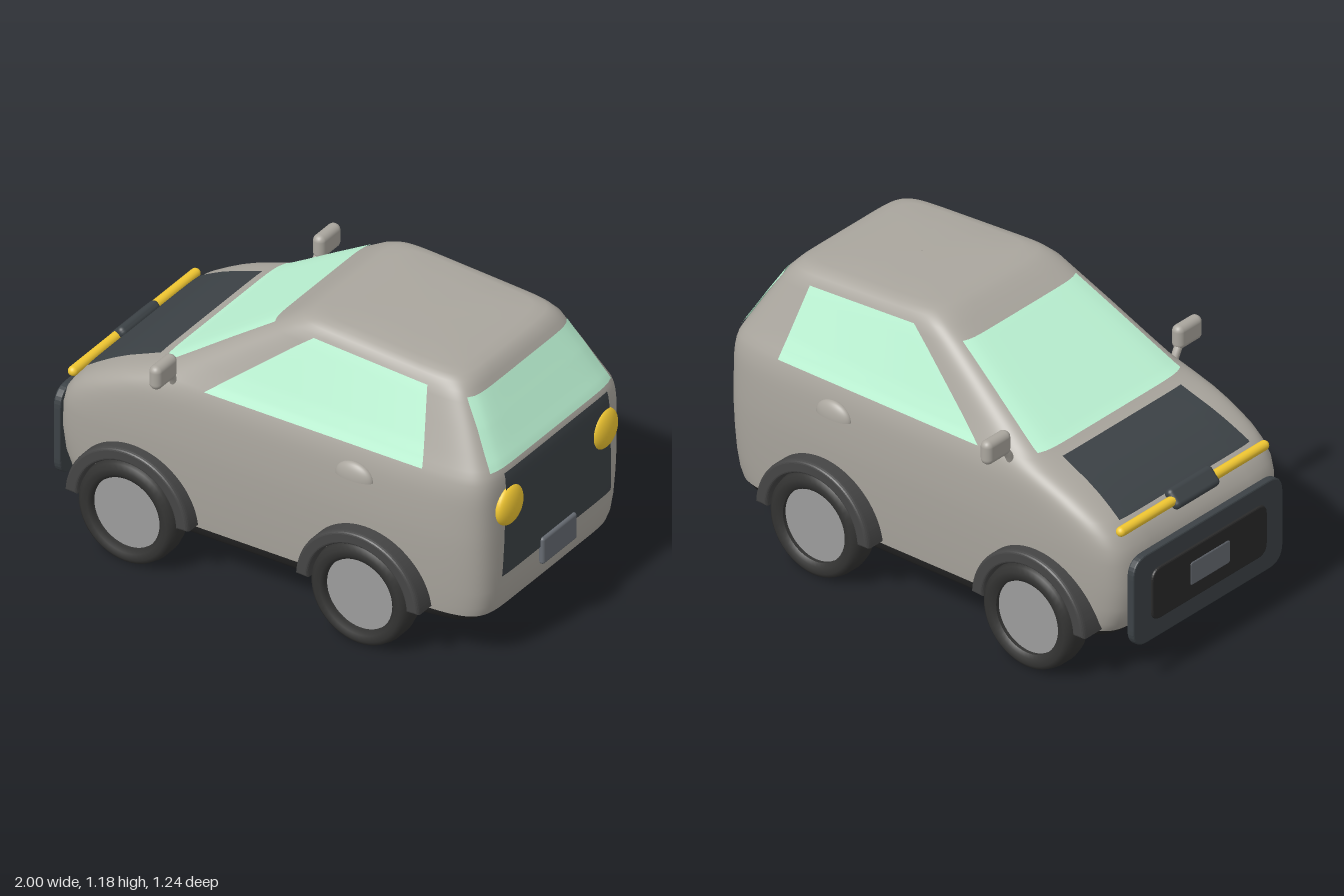
import * as THREE from 'three';
import { RoundedBoxGeometry } from 'three/addons/geometries/RoundedBoxGeometry.js';

const mat = (color) => new THREE.MeshStandardMaterial({ color, side: THREE.DoubleSide });
const paint = mat(0xaaa69e), glass = mat(0xbdf5d5), dark = mat(0x3c4246), black = mat(0x2a2a2a);
const rubber = mat(0x333332), trim = mat(0x454545), hubGrey = mat(0x9c9c9c), yellow = mat(0xf2c832);
const plateGrey = mat(0x666b72);

// Body levels from bottom to top: height, front x, rear x, half width, squareness
const LEVELS = [
  [0.21, -0.9, 0.935, 0.485, 10], [0.25, -0.93, 0.95, 0.49, 10], [0.32, -0.955, 0.96, 0.497, 10],
  [0.42, -0.965, 0.965, 0.505, 10], [0.52, -0.96, 0.967, 0.51, 10], [0.58, -0.945, 0.967, 0.51, 10],
  [0.63, -0.91, 0.967, 0.509, 10], [0.67, -0.865, 0.967, 0.507, 10], [0.7, -0.815, 0.967, 0.505, 10],
  [0.73, -0.76, 0.967, 0.502, 10], [0.76, -0.695, 0.966, 0.497, 10], [0.79, -0.615, 0.963, 0.489, 10],
  [0.815, -0.55, 0.957, 0.48, 10], [0.84, -0.5, 0.945, 0.468, 10], [0.9, -0.406, 0.916, 0.445, 10],
  [1.0, -0.25, 0.869, 0.41, 10], [1.1, -0.094, 0.82, 0.375, 9], [1.14, -0.03, 0.8, 0.36, 9],
  [1.165, 0.015, 0.78, 0.342, 8], [1.18, 0.055, 0.755, 0.32, 8], [1.188, 0.11, 0.71, 0.285, 8],
  [1.192, 0.22, 0.6, 0.17, 6], [1.192, 0.4, 0.402, 0.001, 6],
];
const UNDER = [
  [0.14, 0, 0.002, 0.001, 10], [0.14, -0.7, 0.68, 0.42, 10], [0.155, -0.8, 0.8, 0.45, 10],
  [0.175, -0.86, 0.89, 0.47, 10], [0.21, -0.9, 0.935, 0.485, 10],
];

// The roof falls gently towards the rear
const tilt = (x, y) =>
  y - 0.045 * Math.max(0, x - 0.05) / 0.7 * THREE.MathUtils.clamp((y - 0.85) / 0.3, 0, 1);

function grid(points, cols, rows, wrap) {
  const index = [];
  const next = (j) => (wrap ? (j + 1) % cols : j + 1);
  for (let i = 0; i < rows - 1; i++) {
    for (let j = 0; j < (wrap ? cols : cols - 1); j++) {
      const a = i * cols + j, b = a + cols, c = (i + 1) * cols + next(j), d = i * cols + next(j);
      index.push(a, b, c, a, c, d);
    }
  }
  const g = new THREE.BufferGeometry();
  g.setAttribute('position', new THREE.Float32BufferAttribute(points, 3));
  g.setIndex(index);
  g.computeVertexNormals();
  return g;
}

// Stack of superellipse outlines
function loft(levels, n = 128) {
  const p = [];
  for (const [y, x0, x1, w, k] of levels) {
    for (let j = 0; j < n; j++) {
      const t = (j / n) * Math.PI * 2, c = Math.cos(t), s = Math.sin(t);
      const x = (x0 + x1) / 2 + (x1 - x0) / 2 * Math.sign(c) * Math.abs(c) ** (2 / k);
      p.push(x, tilt(x, y), w * Math.sign(s) * Math.abs(s) ** (2 / k));
    }
  }
  return grid(p, n, levels.length, true);
}

function levelAt(y) {
  const i = Math.max(1, LEVELS.findIndex((l) => l[0] >= y));
  const a = LEVELS[i - 1], b = LEVELS[i], t = (y - a[0]) / (b[0] - a[0]);
  return a.map((v, k) => v + (b[k] - v) * t);
}

// Four-cornered panel lying on the body; axis 'x' = nose or tail, 'z' = flank.
// Corners are [across, height]: bottom pair, then top pair
function panel(axis, sign, [a, b, c, d]) {
  const p = [], n = 25;
  for (let i = 0; i < n; i++) {
    for (let j = 0; j < n; j++) {
      const v = i / (n - 1), u = j / (n - 1);
      const mix = (k) => (a[k] * (1 - u) + b[k] * u) * (1 - v) + (d[k] * (1 - u) + c[k] * u) * v;
      const s = mix(0), y = mix(1), [, x0, x1, w, k] = levelAt(y);
      const cx = (x0 + x1) / 2, hx = (x1 - x0) / 2;
      const across = axis === 'x' ? Math.abs(s) / w : Math.abs(s - cx) / hx;
      const out = (1 - Math.min(1, across) ** k) ** (1 / k);
      if (axis === 'x') {
        const x = cx + sign * (hx * out + 0.007);
        p.push(x, tilt(x, y), s);
      } else p.push(s, tilt(s, y), sign * (w * out + 0.005));
    }
  }
  return grid(p, n, n, false);
}
const trapezoid = (y0, w0, y1, w1) => [[-w0, y0], [w0, y0], [w1, y1], [-w1, y1]];

// Rounded slab facing -x
function slab(halfW, h, depth, r) {
  const s = new THREE.Shape(), x = halfW, y = h / 2;
  s.moveTo(-x + r, -y).lineTo(x - r, -y).quadraticCurveTo(x, -y, x, -y + r);
  s.lineTo(x, y - r).quadraticCurveTo(x, y, x - r, y).lineTo(-x + r, y);
  s.quadraticCurveTo(-x, y, -x, y - r).lineTo(-x, -y + r).quadraticCurveTo(-x, -y, -x + r, -y);
  const g = new THREE.ExtrudeGeometry(s, {
    depth, bevelSize: 0.006, bevelThickness: 0.006, bevelOffset: -0.006, bevelSegments: 2, curveSegments: 8,
  });
  return g.translate(0, 0, -depth / 2).rotateY(-Math.PI / 2);
}

export function createModel() {
  const car = new THREE.Group();
  car.name = 'car';
  const add = (name, geo, material, x = 0, y = 0, z = 0, parent = car) => {
    const m = new THREE.Mesh(geo, material);
    m.name = name;
    m.position.set(x, y, z);
    parent.add(m);
    return m;
  };

  // Shell and panels
  add('body', loft(LEVELS), paint);
  add('underbody', loft(UNDER), black);
  add('windscreen', panel('x', -1, trapezoid(0.83, 0.41, 1.108, 0.325)), glass);
  add('rearWindow', panel('x', 1, trapezoid(0.83, 0.405, 1.12, 0.335)), glass);
  add('bonnetPanel', panel('x', -1, trapezoid(0.665, 0.375, 0.81, 0.34)), dark);
  add('tailgatePanel', panel('x', 1, trapezoid(0.37, 0.365, 0.81, 0.345)), dark);

  // Nose: bumper, grille, plate and lamps
  const bumper = add('frontBumper', slab(0.43, 0.38, 0.02, 0.08), dark, -0.972, 0.36, 0);
  add('grille', slab(0.33, 0.22, 0.016, 0.05), black, -0.011, 0, 0, bumper);
  add('frontPlate', slab(0.115, 0.1, 0.012, 0.015), plateGrey, -0.016, 0, 0, bumper);
  const badge = add('noseBlock', new RoundedBoxGeometry(0.045, 0.085, 0.25, 4, 0.02), dark, -0.91, 0.65, 0);
  badge.rotation.z = -0.75;
  add('rearPlate', new RoundedBoxGeometry(0.025, 0.115, 0.23, 3, 0.012), plateGrey, 0.972, 0.352, 0);

  // Wheel parts shared by all four corners
  const tyreProfile = [[0.15, -0.05], [0.165, -0.062], [0.19, -0.066], [0.208, -0.052], [0.215, -0.025],
    [0.215, 0.025], [0.208, 0.052], [0.19, 0.066], [0.165, 0.062], [0.15, 0.05], [0.15, -0.05]];
  const tyre = new THREE.LatheGeometry(tyreProfile.map((q) => new THREE.Vector2(...q)), 48).rotateX(Math.PI / 2);
  const hub = new THREE.CylinderGeometry(0.155, 0.155, 0.07, 48).rotateX(Math.PI / 2);
  const axle = new THREE.CylinderGeometry(0.03, 0.03, 0.14, 20).rotateX(Math.PI / 2);
  const archShape = new THREE.Shape();
  archShape.absarc(0, 0, 0.27, 0.05, Math.PI - 0.05, false);
  archShape.absarc(0, 0, 0.222, Math.PI - 0.05, 0.05, true);
  const arch = new THREE.ExtrudeGeometry(archShape, {
    depth: 0.08, curveSegments: 40, bevelSize: 0.012, bevelThickness: 0.02, bevelOffset: -0.008, bevelSegments: 4,
  });

  for (const side of [1, -1]) {
    const label = side > 0 ? 'left' : 'right';
    for (const [end, x] of [['front', -0.58], ['rear', 0.455]]) {
      const wheel = new THREE.Group();
      wheel.name = `${label}Side${end}Wheel`;
      wheel.position.set(x, 0.215, side * 0.508);
      car.add(wheel);
      add('tyre', tyre, rubber, 0, 0, 0, wheel);
      add('hub', hub, hubGrey, 0, 0, 0, wheel);
      add('axle', axle, trim, 0, 0, -side * 0.08, wheel);
      const outer = end === 'front' ? 0.56 : 0.575;
      add(`${end}WheelArch`, arch, trim, x, 0.213, side > 0 ? outer - 0.1 : -outer + 0.02);
    }

    add('sideWindow', panel('z', side, [[-0.28, 0.81], [0.69, 0.81], [0.635, 1.132], [0.13, 1.132]]), glass);

    // Lamps
    const tail = add('tailLamp', new THREE.SphereGeometry(0.083, 32, 20), yellow, 0.965, 0.663, side * 0.318);
    tail.scale.x = 0.42;
    const head = new THREE.CapsuleGeometry(0.02, 0.3, 8, 16).rotateX(Math.PI / 2);
    add('headLamp', head, yellow, -0.912, 0.647, side * 0.26);

    // Door handle: upper half of a flattened ball
    const handle = add('doorHandle', new THREE.SphereGeometry(1, 32, 10, 0, Math.PI * 2, 0, Math.PI / 2),
      paint, 0.402, 0.685, side * 0.505);
    handle.scale.set(0.083, 0.066, 0.032);
    const base = add('handleBase', new THREE.CircleGeometry(1, 32).rotateX(Math.PI / 2), paint, 0, 0, 0, handle);
    base.position.y = 0.001;

    // Door mirror on a short stalk
    add('mirrorHead', new RoundedBoxGeometry(0.052, 0.1, 0.14, 5, 0.025), paint, -0.42, 0.886, side * 0.55);
    const stalk = new THREE.CatmullRomCurve3([
      new THREE.Vector3(-0.425, 0.79, side * 0.465), new THREE.Vector3(-0.425, 0.83, side * 0.485),
      new THREE.Vector3(-0.42, 0.875, side * 0.52)]);
    add('mirrorStalk', new THREE.TubeGeometry(stalk, 12, 0.016, 12), paint);
  }
  return car;
}
